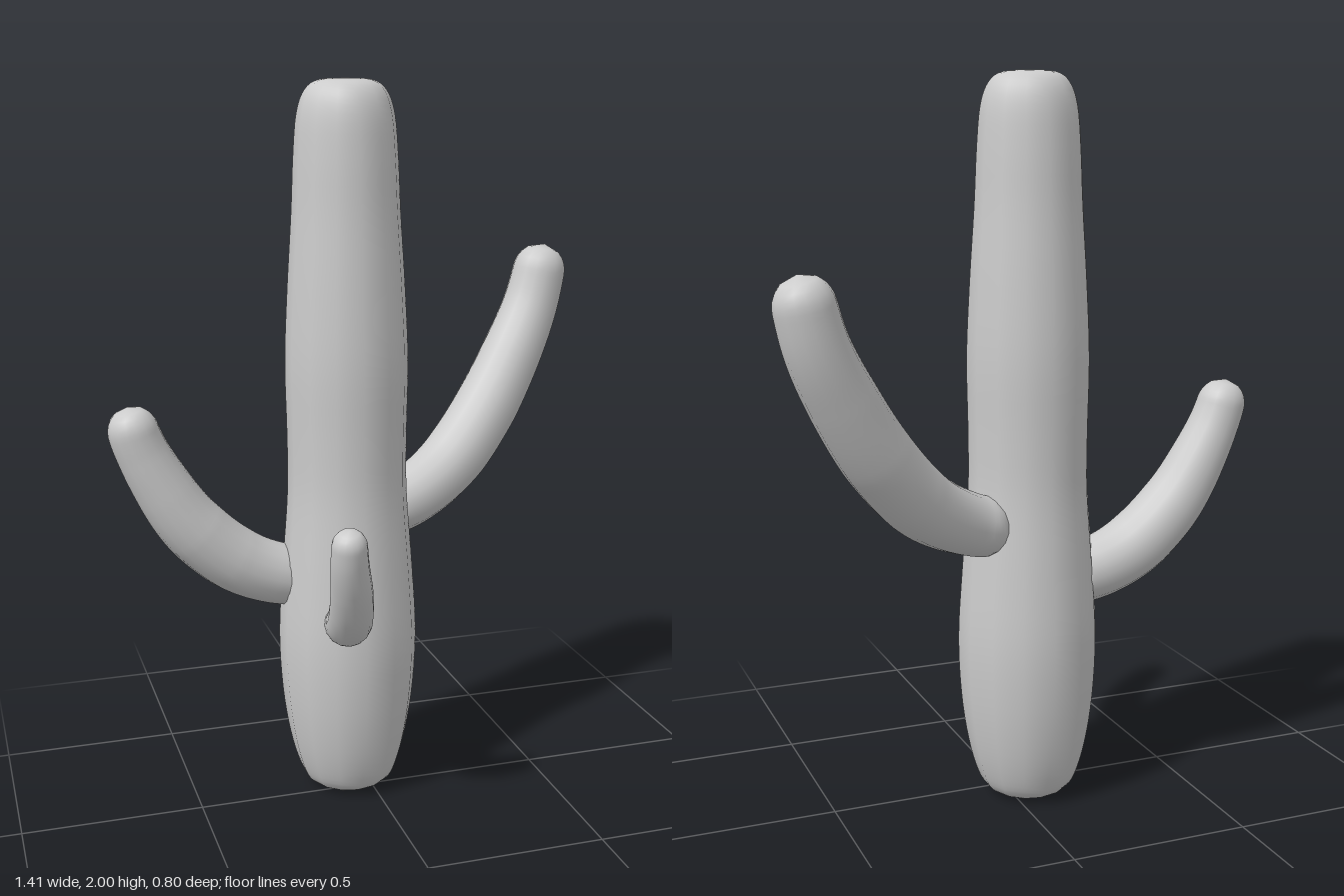
import * as THREE from 'three';
import { mergeVertices } from 'three/addons/utils/BufferGeometryUtils.js';

const material = new THREE.MeshStandardMaterial({ color: 0xcccccc });

// Tapered arm with rounded ends, swept along a smooth path of [x, y, z] points
function makeArm(name, path, radii) {
  const curve = new THREE.CatmullRomCurve3(path.map((p) => new THREE.Vector3(...p)));
  const rings = 64, sides = 16;
  const length = curve.getLength();
  const geometry = new THREE.TubeGeometry(curve, rings, 1, sides, false);
  const pos = geometry.attributes.position;
  const v = new THREE.Vector3();

  // Radius interpolated along the arm, closing as a dome at both ends
  const radiusAt = (t) => {
    const f = t * (radii.length - 1);
    const i = Math.min(Math.floor(f), radii.length - 2);
    const r = THREE.MathUtils.lerp(radii[i], radii[i + 1], f - i);
    const d = Math.min(t, 1 - t) * length;
    return d < r ? r * Math.sqrt(Math.max(0, 1 - (1 - d / r) ** 2)) : r;
  };

  for (let i = 0; i <= rings; i++) {
    const centre = curve.getPointAt(i / rings);
    const r = radiusAt(i / rings);
    for (let j = 0; j <= sides; j++) {
      const k = i * (sides + 1) + j;
      v.fromBufferAttribute(pos, k).sub(centre).multiplyScalar(r).add(centre);
      pos.setXYZ(k, v.x, v.y, v.z);
    }
  }
  geometry.deleteAttribute('normal');
  geometry.deleteAttribute('uv');
  const smooth = mergeVertices(geometry, 1e-5);
  smooth.computeVertexNormals();
  const mesh = new THREE.Mesh(smooth, material);
  mesh.name = name;
  return mesh;
}

export function createModel() {
  const group = new THREE.Group();
  group.name = 'cactus';

  // Trunk: bulging base, slight waist, narrowing to a rounded top
  const profile = new THREE.SplineCurve([
    [0, 0], [0.07, 0.003], [0.112, 0.018], [0.14, 0.06], [0.168, 0.16],
    [0.188, 0.3], [0.195, 0.47], [0.183, 0.67], [0.167, 0.88], [0.166, 1.05],
    [0.169, 1.25], [0.16, 1.45], [0.147, 1.65], [0.14, 1.8], [0.13, 1.91],
    [0.108, 1.97], [0.07, 1.996], [0, 2],
  ].map(([r, y]) => new THREE.Vector2(r, y)));
  const points = profile.getPoints(68);
  points.forEach((p) => { p.x = Math.max(0, p.x); p.y = THREE.MathUtils.clamp(p.y, 0, 2); });
  const trunk = new THREE.Mesh(new THREE.LatheGeometry(points, 14), material);
  trunk.name = 'trunk';
  trunk.position.set(-0.055, 0, -0.05);
  group.add(trunk);

  // Arms, from the root inside the trunk to the tip
  group.add(makeArm('leftArm', [
    [0.03, 0.79, -0.105], [0.15, 0.82, -0.13], [0.29, 0.895, -0.185],
    [0.42, 1.03, -0.24], [0.53, 1.2, -0.285], [0.6, 1.34, -0.315], [0.647, 1.515, -0.328],
  ], [0.08, 0.088, 0.095, 0.095, 0.09, 0.082, 0.075]));

  group.add(makeArm('rightArm', [
    [-0.12, 0.63, -0.085], [-0.23, 0.642, -0.085], [-0.36, 0.695, -0.08],
    [-0.49, 0.81, -0.075], [-0.58, 0.95, -0.075], [-0.635, 1.07, -0.075], [-0.655, 1.155, -0.075],
  ], [0.08, 0.088, 0.092, 0.09, 0.082, 0.072, 0.066]));

  group.add(makeArm('frontArm', [
    [-0.1, 0.54, 0.06], [-0.11, 0.56, 0.14], [-0.125, 0.615, 0.22],
    [-0.145, 0.71, 0.295], [-0.163, 0.8, 0.34], [-0.172, 0.9, 0.368],
  ], [0.06, 0.063, 0.06, 0.056, 0.05, 0.044]));

  return group;
}
